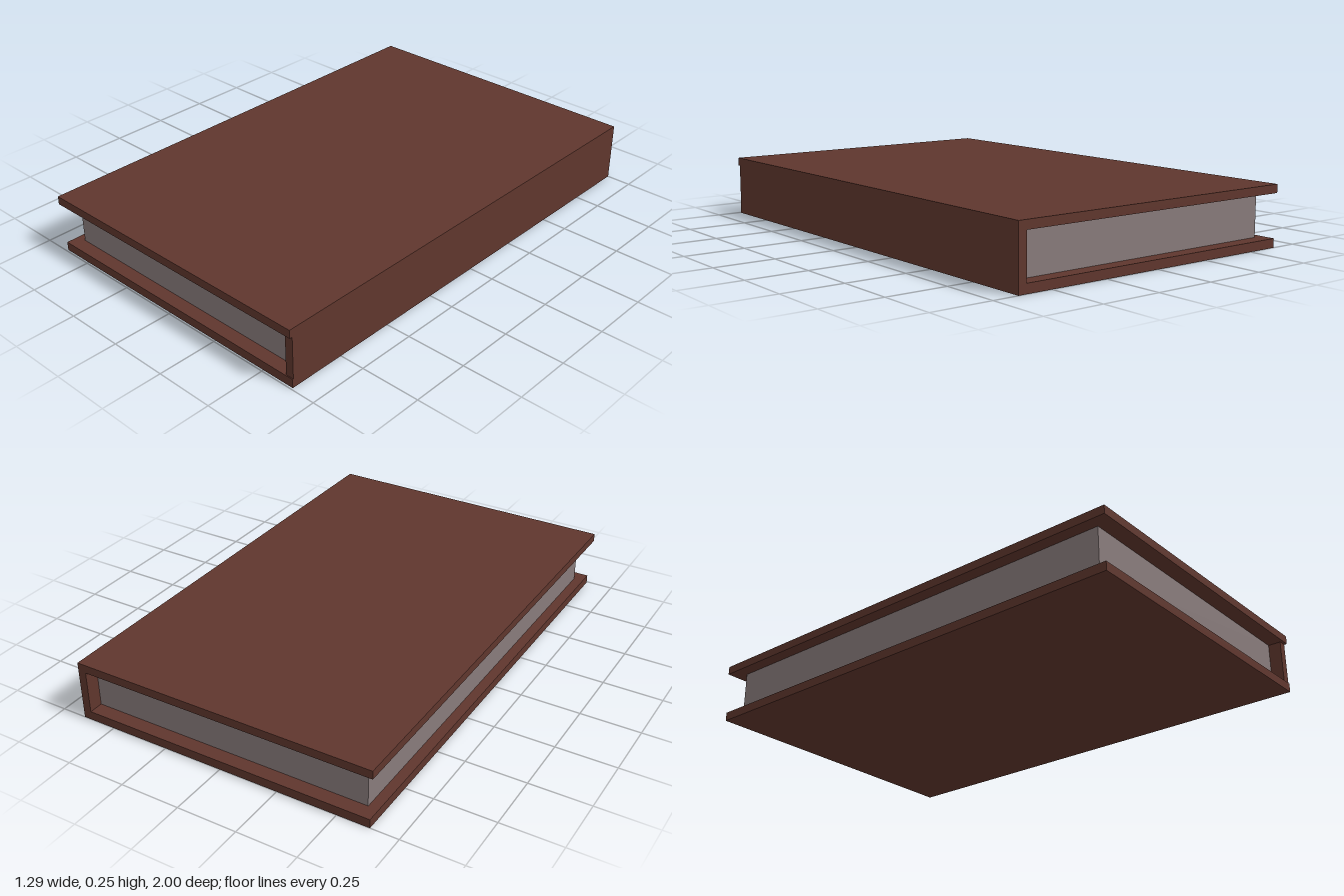
import * as THREE from 'three';

export function createModel() {
  const book = new THREE.Group();
  book.name = 'book';

  const leather = new THREE.MeshStandardMaterial({ color: 0x5f362d });
  leather.name = 'brown leather';
  const paper = new THREE.MeshStandardMaterial({ color: 0x887b7b });
  paper.name = 'grey paper';

  // Box given by its lower and upper corners
  function addBlock(name, material, [x0, y0, z0], [x1, y1, z1]) {
    const mesh = new THREE.Mesh(new THREE.BoxGeometry(x1 - x0, y1 - y0, z1 - z0), material);
    mesh.position.set((x0 + x1) / 2, (y0 + y1) / 2, (z0 + z1) / 2);
    mesh.name = name;
    book.add(mesh);
  }

  // Covers: the upper one overhangs the lower slightly
  addBlock('backCover', leather, [-0.635, 0, -1], [0.645, 0.037, 0.992]);
  addBlock('frontCover', leather, [-0.645, 0.215, -1], [0.645, 0.25, 1]);

  // Spine closing the +x side between the covers
  addBlock('spine', leather, [0.61, 0.037, -1], [0.645, 0.215, 0.988]);

  // Page block, set back from the three open edges
  addBlock('pages', paper, [-0.593, 0.037, -0.94], [0.61, 0.215, 0.935]);

  return book;
}
